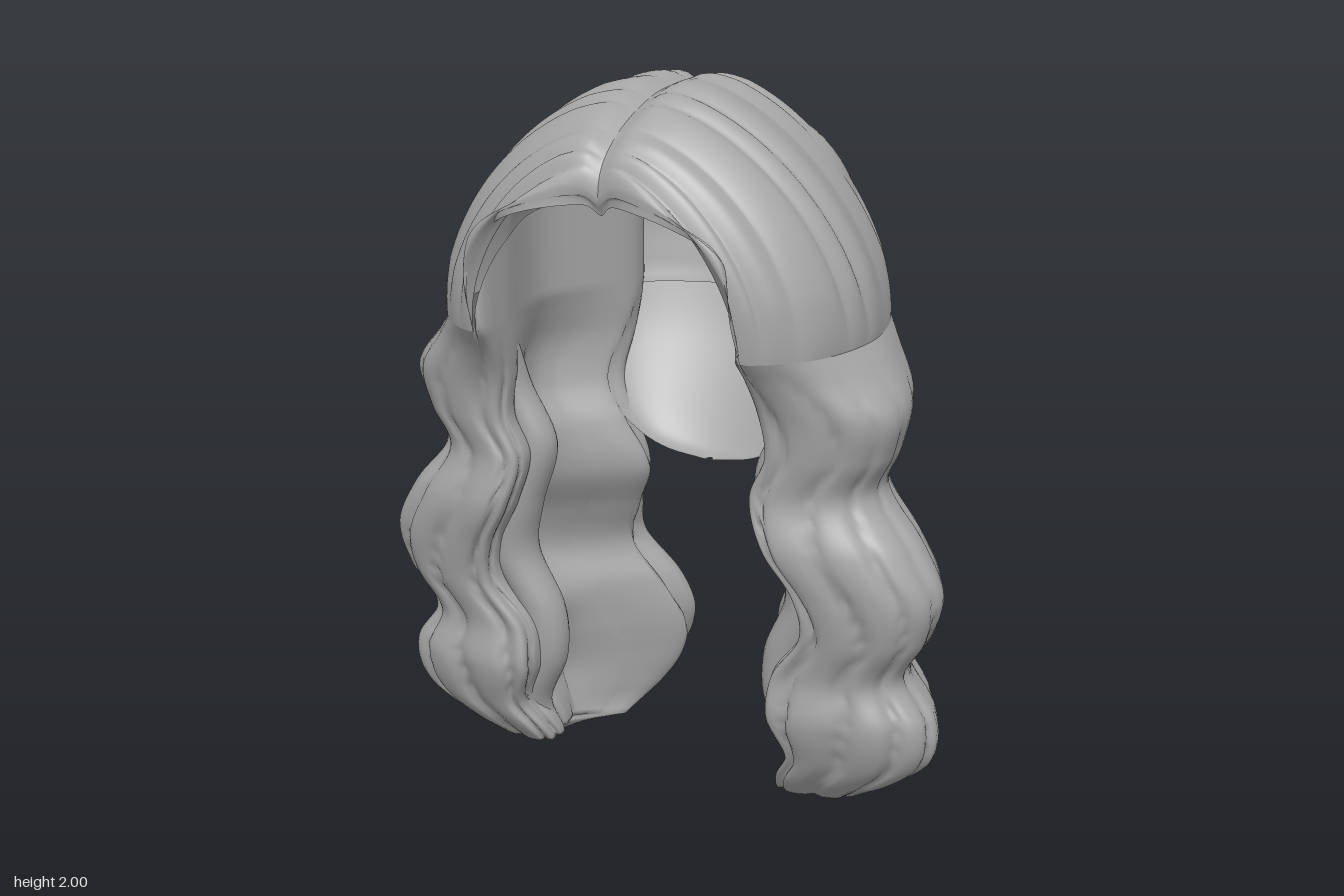
import * as THREE from 'three';

const hair = new THREE.MeshStandardMaterial({ color: 0xa6a6a6, side: THREE.DoubleSide });
hair.name = 'grey hair';

// Smooth surface from a grid of points; wrap closes each row into a loop
function gridMesh(name, rows, cols, wrap, flip, point) {
  const pos = [], idx = [];
  const n = wrap ? cols : cols + 1;
  for (let i = 0; i <= rows; i++) {
    for (let j = 0; j < n; j++) pos.push(...point(i / rows, j / cols));
  }
  for (let i = 0; i < rows; i++) {
    for (let j = 0; j < cols; j++) {
      const k = (j + 1) % n;
      const a = i * n + j, b = i * n + k, c = a + n, d = b + n;
      if (flip) idx.push(a, c, b, b, c, d);
      else idx.push(a, b, c, b, d, c);
    }
  }
  const geo = new THREE.BufferGeometry();
  geo.setAttribute('position', new THREE.Float32BufferAttribute(pos, 3));
  geo.setIndex(idx);
  geo.computeVertexNormals();
  const mesh = new THREE.Mesh(geo, hair);
  mesh.name = name;
  return mesh;
}

const curve = (list) => new THREE.CatmullRomCurve3(list.map((p) => new THREE.Vector3(...p)), false, 'catmullrom', 0.5);
const bump = (t, centre, width) => Math.exp(-Math.pow((t - centre) / width, 2));

// Side curtain by height: [y, front x, front z, side x, side z, rear x, rear z]
const curtainRows = [
  [0, 0.38, 0.05, 0.5, -0.08, 0.31, -0.29], [0.06, 0.35, 0.11, 0.59, -0.04, 0.26, -0.39],
  [0.12, 0.36, 0.16, 0.68, 0, 0.21, -0.44], [0.2, 0.4, 0.2, 0.77, 0.03, 0.16, -0.47],
  [0.33, 0.36, 0.245, 0.785, 0.06, 0.13, -0.485], [0.45, 0.37, 0.235, 0.71, 0.07, 0.17, -0.46],
  [0.58, 0.46, 0.26, 0.78, 0.09, 0.26, -0.41], [0.7, 0.45, 0.29, 0.81, 0.1, 0.24, -0.355],
  [0.83, 0.38, 0.325, 0.75, 0.1, 0.19, -0.31], [0.97, 0.34, 0.31, 0.64, 0.1, 0.24, -0.295],
  [1.08, 0.38, 0.315, 0.68, 0.12, 0.29, -0.325], [1.2, 0.37, 0.335, 0.7, 0.13, 0.28, -0.38],
  [1.3, 0.36, 0.39, 0.635, 0.08, 0.27, -0.41], [1.36, 0.355, 0.44, 0.59, 0.05, 0.27, -0.425]];
const heights = curtainRows.map((r) => r[0]);
const profile = new THREE.CubicInterpolant(heights, curtainRows.flatMap((r) => r.slice(1)), 6);
const HEM = 1.36;

// Crescent cross-section at height y: front edge, side, rear edge, then the inner face
function section(y) {
  const [xF, zF, xS, zS, xR, zR] = profile.evaluate(Math.min(y, HEM));
  const w = xS - xF, d = zF - zR;
  const F = [xF + 0.1 * w, zF], R = [xR + 0.25 * (xS - xR), zR];
  const inF = [xF, zF - 0.14 * d], inR = [xR, zR + 0.16 * d];
  const pts = [
    F,
    [(F[0] + xS) / 2 + 0.2 * w, (zF + zS) / 2 + 0.08 * d],
    [xS, zS],
    [(R[0] + xS) / 2 + 0.18 * w, (zR + zS) / 2 - 0.08 * d],
    R,
    inR,
    [(inF[0] + inR[0]) / 2 + 0.36 * w, (inF[1] + inR[1]) / 2],
    inF,
  ];
  return new THREE.CatmullRomCurve3(pts.map(([x, z]) => new THREE.Vector3(x, y, z)), true, 'catmullrom', 0.5);
}

function curtain(side) {
  return gridMesh('sideCurtain', 110, 96, true, side > 0, (v, u) => {
    const bottom = 0.035 * (1 - Math.cos(2 * Math.PI * (u - 0.45))) + 0.07 * bump(u, 0.29, 0.03);
    // The inner face carries on up inside the crown
    const top = HEM + 0.25 * Math.sqrt(Math.max(0, -Math.sin(2 * Math.PI * u)));
    const y = top + (bottom - top) * Math.min(1, v / 0.99);
    const c = section(y);
    const p = c.getPoint(u);
    const mid = c.getPoint(0.25).lerp(c.getPoint(0.75), 0.5);
    // Wavy strand grooves grow below the hem and deepen towards the tips
    const phase = u * 13 * Math.PI + 0.8 * Math.sin(y * 10);
    const fade = THREE.MathUtils.clamp((HEM - y) * 5, 0, 1);
    const groove = (0.06 + 0.07 * (1 - y / HEM)) * fade * Math.pow(1 - Math.abs(Math.sin(phase)), 2);
    p.lerp(mid, v === 1 ? 0.98 : groove);
    return [side * p.x, y, p.z];
  });
}

// Half of the crown: strands arch from the parting to the fringe and curtain hem
const parting = curve([
  [0, 1.73, 0.44], [0, 1.78, 0.46], [0, 1.85, 0.44], [0, 1.91, 0.37], [0, 1.96, 0.26],
  [0, 1.995, 0.12], [0, 2, -0.02], [0, 1.975, -0.17], [0, 1.89, -0.31]]);
const fringe = curve([[0.3, 1.63, 0.45], [0.35, 1.61, 0.47], [0.37, 1.48, 0.485], section(HEM).getPoint(0).toArray()]);
const FRINGE = 0.2;

function crown(side) {
  const hem = section(HEM);
  return gridMesh('crownHair', 170, 40, false, side < 0, (a, u) => {
    const P = parting.getPoint(a);
    const E = a < FRINGE ? fringe.getPoint(a / FRINGE) : hem.getPoint(0.5 * (a - FRINGE) / (1 - FRINGE));
    const w = (u * Math.PI) / 2;
    const s = Math.pow(Math.sin(w), 1.13), c = Math.pow(Math.max(0, Math.cos(w)), 1.13);
    const strand = a * Math.PI * 10 + 0.7 * Math.sin(a * 23) + 0.6 * s;
    const ridge = 0.016 * Math.abs(Math.sin(strand)) * Math.min(1, u * 5, (1 - u) * 5);
    const dip = 0.03 * bump(u, 0, 0.06);
    // Fringe puffs forward, crown back hugs the cap
    const puff = 0.06 * Math.max(0, 1 - a / 0.35) - 0.07 * Math.max(0, a - 0.65) / 0.35;
    return [
      side * (E.x + ridge) * s,
      E.y + (P.y - E.y + ridge) * c - dip,
      P.z + (E.z - P.z) * (1 - c) + puff * Math.sin(2 * w),
    ];
  });
}

// Smooth shell behind the head: rows of [y, half width, back z], open to the front
function backShell(name, profileRows, inset) {
  const c = curve(profileRows);
  return gridMesh(name, 48, 48, false, false, (v, u) => {
    const p = c.getPoint(v);
    const th = Math.PI * (1 + u);
    const rim = -0.08 - 0.12 * Math.pow((1.93 - p.x) / 1.05, 2);
    const half = Math.max(0, p.y - inset), depth = Math.max(0, rim - p.z - inset);
    return [half * Math.cos(th), p.x, rim + depth * Math.sin(th)];
  });
}
const capRows = [
  [1.93, 0.04, -0.2], [1.89, 0.24, -0.31], [1.82, 0.36, -0.4], [1.7, 0.44, -0.48], [1.55, 0.48, -0.517],
  [1.4, 0.47, -0.497], [1.33, 0.45, -0.48], [1.2, 0.4, -0.43], [1.05, 0.31, -0.345], [0.95, 0.22, -0.285],
  [0.9, 0.13, -0.25], [0.88, 0.01, -0.22]];

// Slim wavy strand along the inside of each curtain: [x, y, z] and radius
const strandPath = curve([
  [0.4, 1.3, 0.22], [0.41, 1.15, 0.17], [0.36, 0.98, 0.15], [0.42, 0.8, 0.14], [0.45, 0.65, 0.12],
  [0.38, 0.48, 0.1], [0.37, 0.33, 0.09], [0.42, 0.18, 0.07], [0.38, 0.08, 0.03]]);

function innerStrand(side) {
  return gridMesh('innerStrand', 60, 20, true, side > 0, (v, u) => {
    const p = strandPath.getPoint(v);
    const r = 0.07 * Math.sqrt(Math.sin(Math.PI * (0.02 + 0.96 * v)));
    const th = u * Math.PI * 2;
    return [side * (p.x + r * Math.sin(th)), p.y, p.z + r * Math.cos(th)];
  });
}

export function createModel() {
  const model = new THREE.Group();
  model.name = 'wavyWig';
  model.add(backShell('backCap', capRows, 0));
  // Short lining under the cap, ending at ear height
  model.add(backShell('capLining', capRows.slice(0, 7), 0.02));
  for (const side of [1, -1]) {
    const half = new THREE.Group();
    half.name = side > 0 ? 'leftHair' : 'rightHair';
    half.add(crown(side), curtain(side), innerStrand(side));
    model.add(half);
  }
  return model;
}
